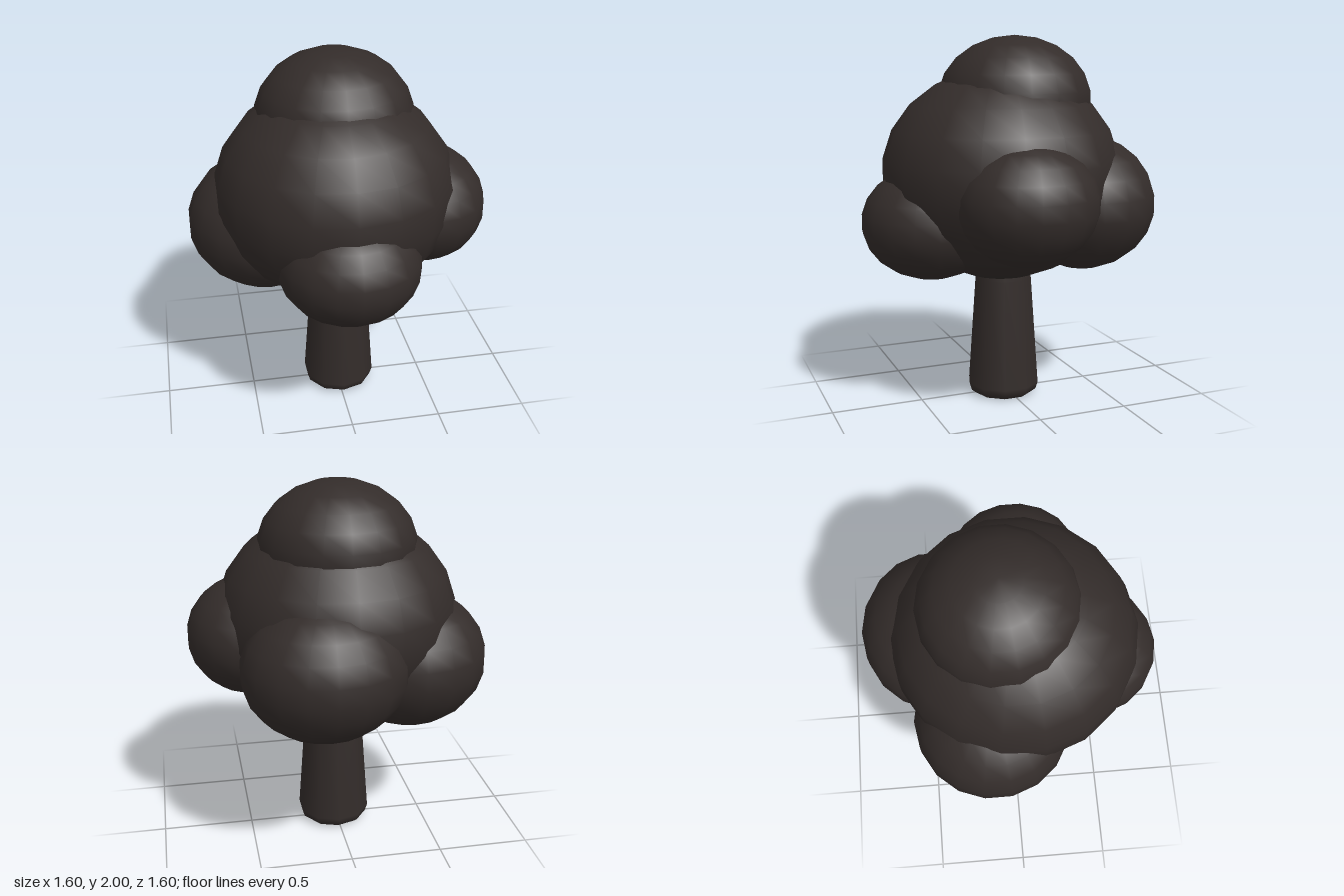
import * as THREE from 'three';

const material = new THREE.MeshStandardMaterial({ color: 0x332c2a });

// Foliage clumps: name, centre, radii
const clumps = [
  ['mainCanopy', [-0.01, 1.25, 0.02], [0.655, 0.58, 0.66]],
  ['topClump', [0, 1.65, -0.055], [0.425, 0.35, 0.42]],
  ['leftClump', [0.47, 1.15, 0.06], [0.34, 0.32, 0.375]],
  ['rightClump', [-0.38, 1.03, -0.125], [0.43, 0.38, 0.425]],
  ['frontClump', [-0.01, 1.005, 0.425], [0.38, 0.31, 0.38]],
  ['backClump', [0.13, 1.09, -0.4], [0.44, 0.375, 0.405]],
];

function addMesh(group, name, geometry) {
  const mesh = new THREE.Mesh(geometry, material);
  mesh.name = name;
  group.add(mesh);
  return mesh;
}

export function createModel() {
  const tree = new THREE.Group();
  tree.name = 'tree';

  // Tapered trunk with a rounded foot, running up into the canopy
  const trunk = new THREE.Group();
  trunk.name = 'trunk';
  trunk.position.set(0.01, 0, 0.017);
  const profile = [[0.165, 0], [0.19, 0.02], [0.203, 0.06], [0.16, 0.67], [0.145, 0.9]];
  const points = profile.map(([r, y]) => new THREE.Vector2(r, y));
  addMesh(trunk, 'trunkBark', new THREE.LatheGeometry(points, 10));
  const base = addMesh(trunk, 'trunkBase', new THREE.CircleGeometry(0.165, 10, Math.PI / 2));
  base.rotation.x = Math.PI / 2;
  tree.add(trunk);

  // Squashed balls of foliage
  const foliage = new THREE.Group();
  foliage.name = 'foliage';
  for (const [name, centre, radii] of clumps) {
    const ball = new THREE.SphereGeometry(1, 18, 11, Math.PI / 2);
    ball.scale(...radii);
    addMesh(foliage, name, ball).position.set(...centre);
  }
  tree.add(foliage);
  return tree;
}
